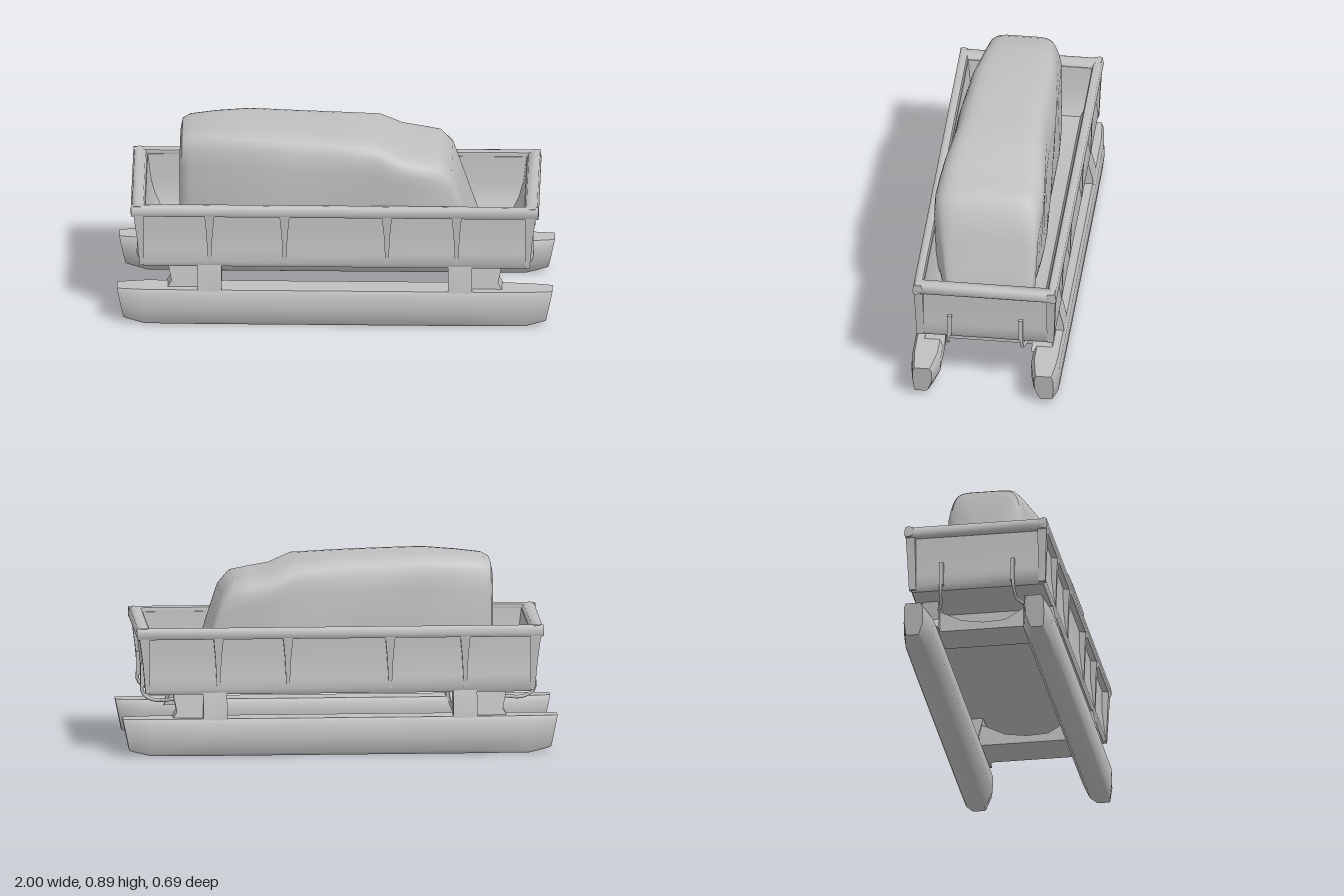
import * as THREE from 'three';
import { toCreasedNormals } from 'three/addons/utils/BufferGeometryUtils.js';

const V = (x, y, z) => new THREE.Vector3(x, y, z);

// Closed skin through equal-length rings of points, capped at both ends
function loft(rings, crease = 0.6) {
  const tris = [];
  const n = rings[0].length;
  const centre = (r) => r.reduce((a, p) => a.add(p), V(0, 0, 0)).divideScalar(n);
  const first = centre(rings[0]), last = centre(rings[rings.length - 1]);
  for (let j = 0; j < n; j++) {
    const k = (j + 1) % n;
    for (let i = 0; i < rings.length - 1; i++) {
      const a = rings[i][j], b = rings[i][k], c = rings[i + 1][k], d = rings[i + 1][j];
      tris.push([a, b, c], [a, c, d]);
    }
    tris.push([first, rings[0][k], rings[0][j]]);
    tris.push([last, rings[rings.length - 1][j], rings[rings.length - 1][k]]);
  }
  // Turn the skin outward if its signed volume is negative
  const volume = tris.reduce((s, [a, b, c]) => s + a.dot(b.clone().cross(c)), 0);
  if (volume < 0) tris.forEach((t) => t.reverse());
  const g = new THREE.BufferGeometry().setFromPoints(tris.flat());
  return toCreasedNormals(g, crease);
}

// Rectangular ring around the y axis
const rect = ([hx, y, hz]) => [V(hx, y, hz), V(hx, y, -hz), V(-hx, y, -hz), V(-hx, y, hz)];

export function createModel() {
  const model = new THREE.Group();
  const grey = new THREE.MeshStandardMaterial({ color: 0xc0c0c0 });
  grey.name = 'plain grey';
  const add = (name, geometry) => {
    const m = new THREE.Mesh(geometry, grey);
    m.name = name;
    model.add(m);
    return m;
  };

  // Open tub: outside wall, then down the inside to the floor
  add('tub', loft([
    [0.88, 0.282, 0.305], [0.895, 0.305, 0.315], [0.895, 0.36, 0.306], [0.892, 0.44, 0.297],
    [0.895, 0.57, 0.296], [0.87, 0.57, 0.285], [0.855, 0.45, 0.275], [0.835, 0.38, 0.26], [0.81, 0.335, 0.24],
    [0.77, 0.325, 0.21],
  ].map(rect), 0.8));

  // Rim rails
  const railShape = [[0.3, 0.545], [0.325, 0.54], [0.333, 0.555], [0.328, 0.588], [0.315, 0.593], [0.292, 0.588], [0.285, 0.56]];
  for (const s of [1, -1]) {
    add('sideRail', loft([-0.935, 0.935].map((x) => railShape.map(([z, y]) => V(x, y, s * z))), 1.1));
    add('endRail', loft([-0.325, 0.325].map((z) => railShape.map(([x, y]) =>
      V(s * (0.87 + (x - 0.285) * 1.4), y, z))), 1.1));
  }

  for (const sz of [1, -1]) {
    // Tapered ribs on the side walls
    for (const x of [-0.575, -0.23, 0.24, 0.56]) {
      add('rib', loft([[0.555, 0.024, 0.328], [0.45, 0.014, 0.32], [0.305, 0.007, 0.316]].map(([y, w, z]) =>
        [V(x - w, y, sz * 0.285), V(x + w, y, sz * 0.285), V(x + w, y, sz * z), V(x - w, y, sz * z)])));
    }
    // Corner posts
    for (const sx of [1, -1]) {
      add('cornerPost', loft([[0.56, 0.925, 0.328], [0.42, 0.907, 0.322], [0.29, 0.895, 0.317]].map(([y, x, z]) =>
        [V(sx * 0.875, y, sz * 0.285), V(sx * x, y, sz * 0.285), V(sx * x, y, sz * z), V(sx * 0.875, y, sz * z)])));
    }

    // Skids, rounded along their length, with blunt upswept ends
    const skidShape = [[0.33, 0.172], [0.342, 0.15], [0.345, 0.08], [0.337, 0.01], [0.33, 0], [0.247, 0],
      [0.238, 0.01], [0.21, 0.07], [0.207, 0.145], [0.223, 0.172]];
    const skidRings = [[-1, 0.64], [-0.975, 0.74], [-0.87, 0.98], [-0.6, 1], [0.6, 1],
      [0.87, 0.98], [0.975, 0.74], [1, 0.64]];
    add('skid', loft(skidRings.map(([x, w]) => skidShape.map(([z, y]) => {
      const low = 1 - y / 0.172;
      const lift = (1 - w) * 0.07 * low;
      const rake = Math.abs(x) > 0.9 ? Math.sign(x) * 0.03 * low : 0;
      return V(x - rake, y + lift, sz * (0.29 + (z - 0.29) * w));
    })), 1));

    for (const sx of [1, -1]) {
      // Legs between skid and tub
      add('leg', loft([[0.15, 0.335, 0.215], [0.2, 0.33, 0.22], [0.3, 0.306, 0.195]].map(([y, zo, zi]) =>
        [V(sx * 0.52, y, sz * zi), V(sx * 0.63, y, sz * zi), V(sx * 0.63, y, sz * zo), V(sx * 0.52, y, sz * zo)])));
      add('legBrace', loft([[0.15, 0.78, 0.3], [0.2, 0.75, 0.29], [0.3, 0.77, 0.27]].map(([y, x, z]) =>
        [V(sx * 0.6, y, sz * 0.2), V(sx * x, y, sz * 0.2), V(sx * x, y, sz * z), V(sx * 0.6, y, sz * z)])));
      // Hooks under the end walls
      const path = new THREE.CatmullRomCurve3([V(sx * 0.9, 0.34, sz * 0.165), V(sx * 0.9, 0.27, sz * 0.17),
        V(sx * 0.85, 0.238, sz * 0.175), V(sx * 0.75, 0.245, sz * 0.2)]);
      add('hook', new THREE.TubeGeometry(path, 12, 0.008, 6));
      add('hookFin', new THREE.BoxGeometry(0.03, 0.11, 0.02)).position.set(sx * 0.895, 0.355, sz * 0.165);
    }
  }

  // Cross beams, sagging in the middle and rising to the tub at the sides
  const beam = [[-0.24, 0.26], [-0.2, 0.25], [-0.1, 0.2], [0, 0.185], [0.1, 0.19], [0.2, 0.25], [0.24, 0.26]];
  for (const sx of [1, -1]) {
    add('crossBeam', loft(beam.map(([z, top]) =>
      [V(sx * 0.53, 0.15, z), V(sx * 0.72, 0.15, z), V(sx * 0.72, top, z), V(sx * 0.53, top, z)])));
  }
  // Thin web closing one beam up to the tub
  add('beamWeb', new THREE.BoxGeometry(0.02, 0.12, 0.44)).position.set(-0.6, 0.23, 0);

  // Covered cargo: x, centre z, half width, top
  const sections = [[-0.715, 0.015, 0.135, 0.8], [-0.705, 0.01, 0.16, 0.85], [-0.67, 0.01, 0.178, 0.868],
    [-0.55, 0.013, 0.196, 0.88], [-0.4, 0.02, 0.207, 0.89], [-0.2, 0.027, 0.219, 0.884],
    [0, 0.032, 0.229, 0.875], [0.2, 0.036, 0.238, 0.862], [0.3, 0.038, 0.243, 0.815],
    [0.4, 0.04, 0.246, 0.797], [0.48, 0.038, 0.242, 0.782], [0.535, 0.03, 0.228, 0.72],
    [0.575, 0.022, 0.217, 0.6], [0.62, 0.015, 0.203, 0.46], [0.655, 0.012, 0.185, 0.36]];
  const round = (v) => Math.sign(v) * Math.pow(Math.abs(v), 0.3);
  add('cargo', loft(sections.map(([x, zc, w, top], i) => {
    const ring = [];
    for (let j = 0; j < 32; j++) {
      const a = ((j + 0.5) / 32) * Math.PI * 2;
      const u = round(Math.cos(a)), v = round(Math.sin(a));
      const y = 0.315 + (top - 0.315) * (v + 1) / 2;
      const taper = 1 - 0.1 * Math.max(0, (y - 0.74) / 0.15);
      const dent = i > 1 && i < 12 ? 0.006 * Math.sin(x * 11 + y * 14) : 0;
      ring.push(V(x, y, zc + u * (w * taper + dent)));
    }
    return ring;
  }), 0.75));

  return model;
}
